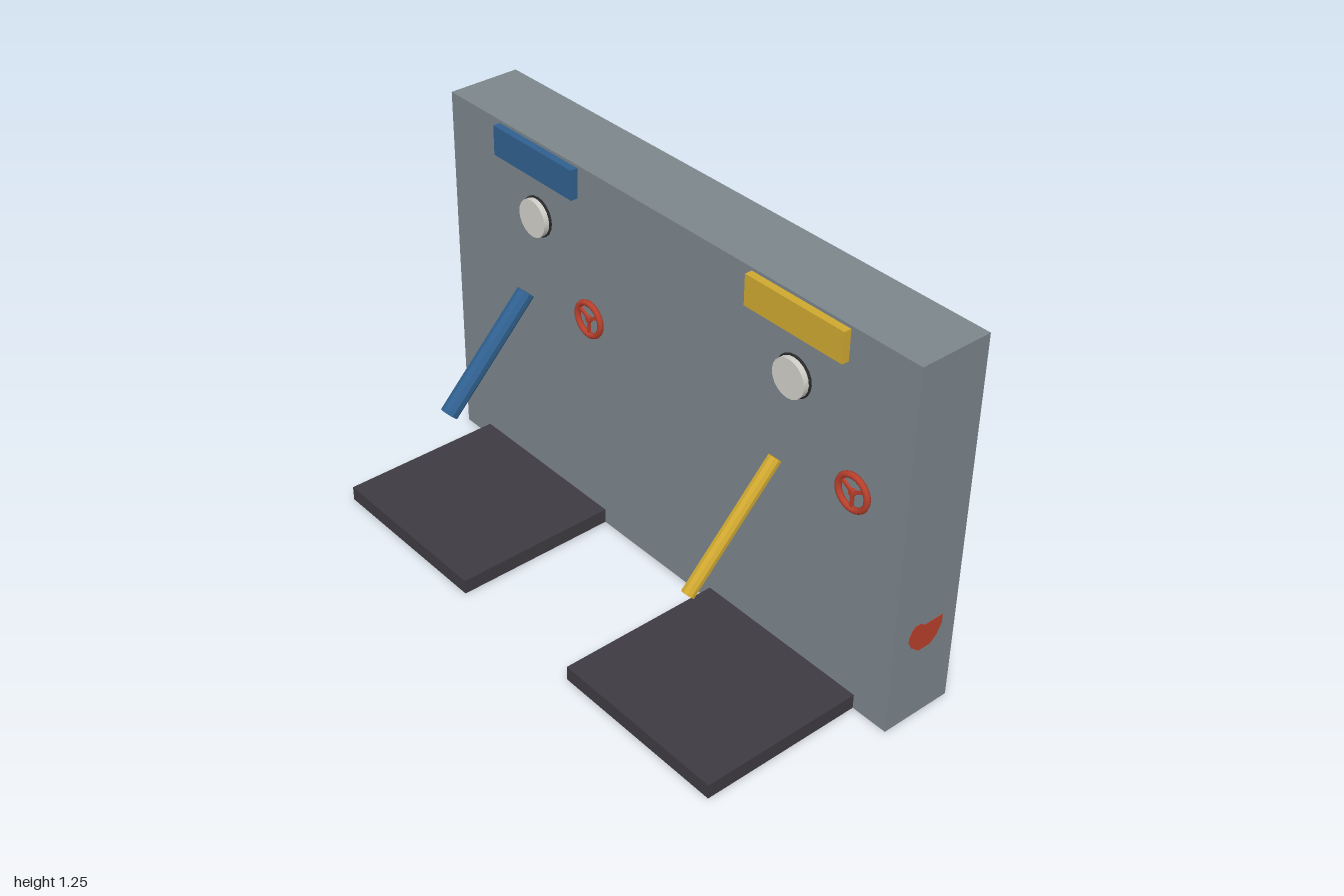
import * as THREE from 'three';

const mat = (name, color, flatShading = false) => {
  const m = new THREE.MeshStandardMaterial({ color, flatShading });
  m.name = name;
  return m;
};

export function createModel() {
  const model = new THREE.Group();
  const grey = mat('wallGrey', 0x7d868c);
  const dark = mat('padCharcoal', 0x3e3c42);
  const blue = mat('blue', 0x30608f, true);
  const yellow = mat('yellow', 0xcfa830, true);
  const red = mat('valveRed', 0xb8402c);
  const white = mat('dialWhite', 0xd0cfc8);
  const black = mat('rimBlack', 0x2a2a2c);

  const add = (parent, name, geometry, material, x = 0, y = 0, z = 0) => {
    const mesh = new THREE.Mesh(geometry, material);
    mesh.name = name;
    mesh.position.set(x, y, z);
    parent.add(mesh);
    return mesh;
  };

  const wallFront = -0.155;
  add(model, 'wall', new THREE.BoxGeometry(2, 1.25, 0.25), grey, 0, 0.625, -0.28);

  // Valve wheel: rim, hub and three spokes
  const valveWheel = () => {
    const wheel = new THREE.Group();
    wheel.name = 'valveWheel';
    add(wheel, 'wheelRim', new THREE.TorusGeometry(0.055, 0.01, 8, 24), red);
    const hub = add(wheel, 'wheelHub', new THREE.CylinderGeometry(0.011, 0.011, 0.014, 10), red);
    hub.rotation.x = Math.PI / 2;
    for (let i = 0; i < 3; i++) {
      const a = -Math.PI / 2 + (i * Math.PI * 2) / 3;
      const spoke = add(wheel, 'wheelSpoke', new THREE.BoxGeometry(0.052, 0.01, 0.008), red,
        Math.cos(a) * 0.026, Math.sin(a) * 0.026, 0);
      spoke.rotation.z = a;
    }
    return wheel;
  };

  // Two matching stations along the wall
  const station = (name, x, colour, pipeRadius) => {
    const g = new THREE.Group();
    g.name = name;
    g.position.x = x;
    model.add(g);

    add(g, 'floorPad', new THREE.BoxGeometry(0.62, 0.05, 0.56), dark, 0, 0.025, wallFront + 0.28);
    add(g, 'signBoard', new THREE.BoxGeometry(0.376, 0.1, 0.025), colour, 0, 1.19, wallFront + 0.0125);

    // Round gauge with dark rim
    const dial = add(g, 'gaugeDial', new THREE.CylinderGeometry(0.0625, 0.0625, 0.022, 20), white, 0, 1, -0.136);
    dial.rotation.x = Math.PI / 2;
    add(g, 'gaugeRim', new THREE.TorusGeometry(0.0635, 0.0045, 6, 20), black, 0, 1, -0.147);

    const wheel = valveWheel();
    wheel.position.set(0.249, 0.752, -0.144);
    g.add(wheel);

    // Sloping pipe leaning towards the wall
    const pipe = add(g, 'slopingPipe', new THREE.CylinderGeometry(pipeRadius, pipeRadius, 0.45, 10),
      colour, 0, 0.589, 0.063);
    pipe.rotation.x = -0.767;
  };
  station('blueStation', -0.5635, blue, 0.03);
  station('yellowStation', 0.5615, yellow, 0.022);

  // Painted red patch on the left end of the wall
  const patch = new THREE.Shape([
    [0.216, 0.302], [0.229, 0.276], [0.259, 0.25], [0.306, 0.25], [0.332, 0.272], [0.349, 0.306],
    [0.349, 0.336], [0.276, 0.336], [0.259, 0.349], [0.239, 0.349], [0.226, 0.339], [0.216, 0.316],
  ].map(([u, v]) => new THREE.Vector2(u, v)));
  const patchMesh = add(model, 'redEndPatch',
    new THREE.ExtrudeGeometry(patch, { depth: 0.002, bevelEnabled: false }), red, 0.9995, 0, 0);
  patchMesh.rotation.y = Math.PI / 2;

  // Pale disc on the right end of the wall
  const disc = add(model, 'paleEndDisc', new THREE.CylinderGeometry(0.083, 0.083, 0.002, 24), white, -1.0005, 0.31, -0.28);
  disc.rotation.z = Math.PI / 2;

  return model;
}
